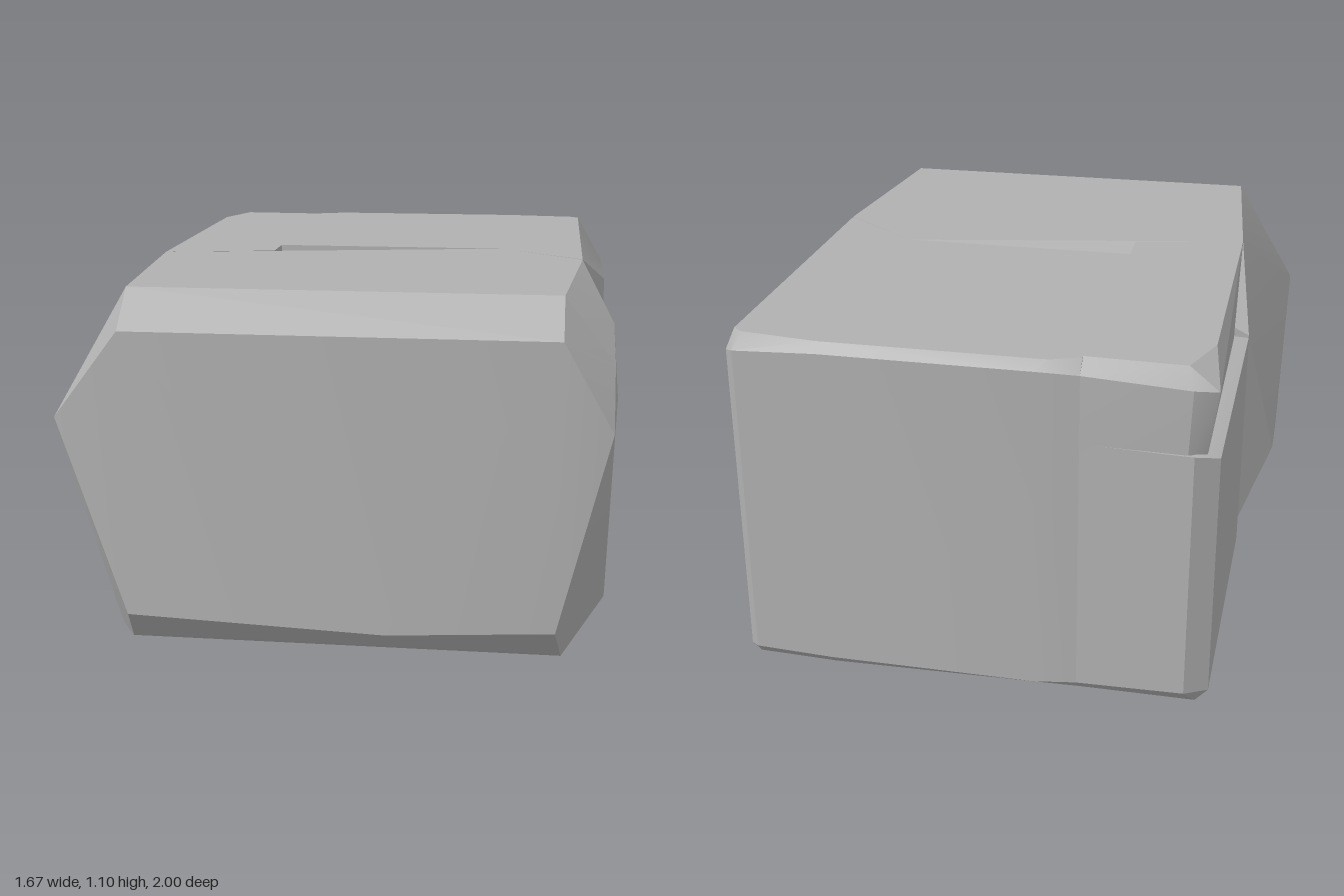
import * as THREE from 'three';
import { toCreasedNormals } from 'three/addons/utils/BufferGeometryUtils.js';
import { ConvexGeometry } from 'three/addons/geometries/ConvexGeometry.js';

export function createModel() {
  const group = new THREE.Group();
  const stone = new THREE.MeshStandardMaterial({ color: 0xb0b0b0 });
  stone.name = 'grey stone';

  // Each chunk of rock is the hull of its corner points
  const chunk = (name, corners) => {
    const points = corners.map((c) => new THREE.Vector3(...c));
    const mesh = new THREE.Mesh(toCreasedNormals(new ConvexGeometry(points), 0.4), stone);
    mesh.name = name;
    group.add(mesh);
  };

  // Bulging front block with a slanted back
  chunk('frontBlock', [
    // top
    [-0.63, 1.1, 0.88], [0.65, 1.1, 0.88], [0.71, 1.1, 0.2], [0.44, 1.1, -0.02], [-0.69, 1.1, 0.19],
    // front face
    [-0.63, 0.99, 1], [0.65, 0.99, 1], [0.8, 0.72, 0.97], [0.65, 0.12, 1],
    [0.15, 0.09, 1], [-0.63, 0.12, 1], [-0.84, 0.72, 0.965],
    // right side
    [0.8, 0.9, 0.86], [0.8, 0.98, 0.65], [0.83, 0.7, 0.46], [0.8, 0.12, 0.68],
    [0.8, 0.75, 0.13], [0.8, 0.45, 0.11],
    // left side
    [-0.84, 0.36, 0.13], [-0.84, 0.36, 0.3], [-0.74, 0.84, -0.02], [-0.69, 0.03, 0.85],
    // base
    [-0.65, 0, 0.88], [0.67, 0, 0.88], [0.71, 0, -0.01], [-0.69, 0, -0.01],
    // sloping floor of the notch in the top
    [-0.33, 1.04, -0.02],
  ]);

  // Lower left of the rear block, standing out as a ledge
  chunk('rearLeftLower', [
    [-0.73, 0.83, -0.95], [-0.74, 0.83, 0], [-0.33, 0.85, 0], [-0.33, 0.85, -0.98],
    [-0.73, 0.05, -0.95], [-0.74, 0.05, 0], [-0.66, 0.85, -1], [-0.66, 0.06, -1],
    [-0.69, 0, -0.94], [-0.69, 0, 0], [-0.33, 0, 0], [-0.33, 0, -0.94], [-0.33, 0.04, -0.98],
  ]);

  // Upper left of the rear block, set in above the ledge
  chunk('rearLeftUpper', [
    [-0.63, 1.1, -0.94], [-0.69, 1.1, -0.77], [-0.69, 1.1, 0.19], [-0.33, 1.1, 0.115], [-0.33, 1.1, -0.93],
    [-0.72, 1.04, -0.97], [-0.65, 1.05, -1], [-0.33, 1.06, -0.98],
    [-0.69, 0.82, -0.95], [-0.69, 0.82, 0], [-0.33, 0.82, 0], [-0.33, 0.82, -0.98], [-0.64, 0.82, -0.99],
  ]);

  // Middle of the rear block
  chunk('rearMiddle', [
    [-0.33, 1.1, -0.94], [-0.24, 1.1, -0.975], [0.45, 1.1, -0.975], [0.45, 1.1, -0.02], [-0.33, 1.1, -0.02],
    [-0.33, 1.06, -0.98], [-0.2, 1.07, -1], [0.45, 1.07, -1],
    [-0.33, 0.04, -0.98], [-0.2, 0.04, -1], [0.45, 0.04, -1],
    [-0.33, 0, -0.94], [0.45, 0, -0.96], [0.45, 0, -0.02], [-0.33, 0, -0.02],
  ]);

  // Right of the rear block, chamfered above and below
  chunk('rearRight', [
    [0.44, 1.1, -0.975], [0.68, 1.1, -0.945], [0.71, 1.1, -0.92], [0.71, 1.1, 0.19], [0.44, 1.1, -0.02],
    [0.44, 1.07, -1], [0.69, 1.06, -1], [0.72, 1.05, -0.97],
    [0.8, 0.96, -0.28], [0.8, 0.96, -0.77], [0.8, 0.15, -0.28], [0.8, 0.15, -0.77],
    [0.74, 0.8, 0.08], [0.44, 0.04, -1], [0.69, 0.05, -1], [0.72, 0.04, -0.97],
    [0.44, 0, -0.96], [0.7, 0, -0.95], [0.71, 0, -0.01], [0.44, 0, -0.02],
  ]);

  return group;
}
